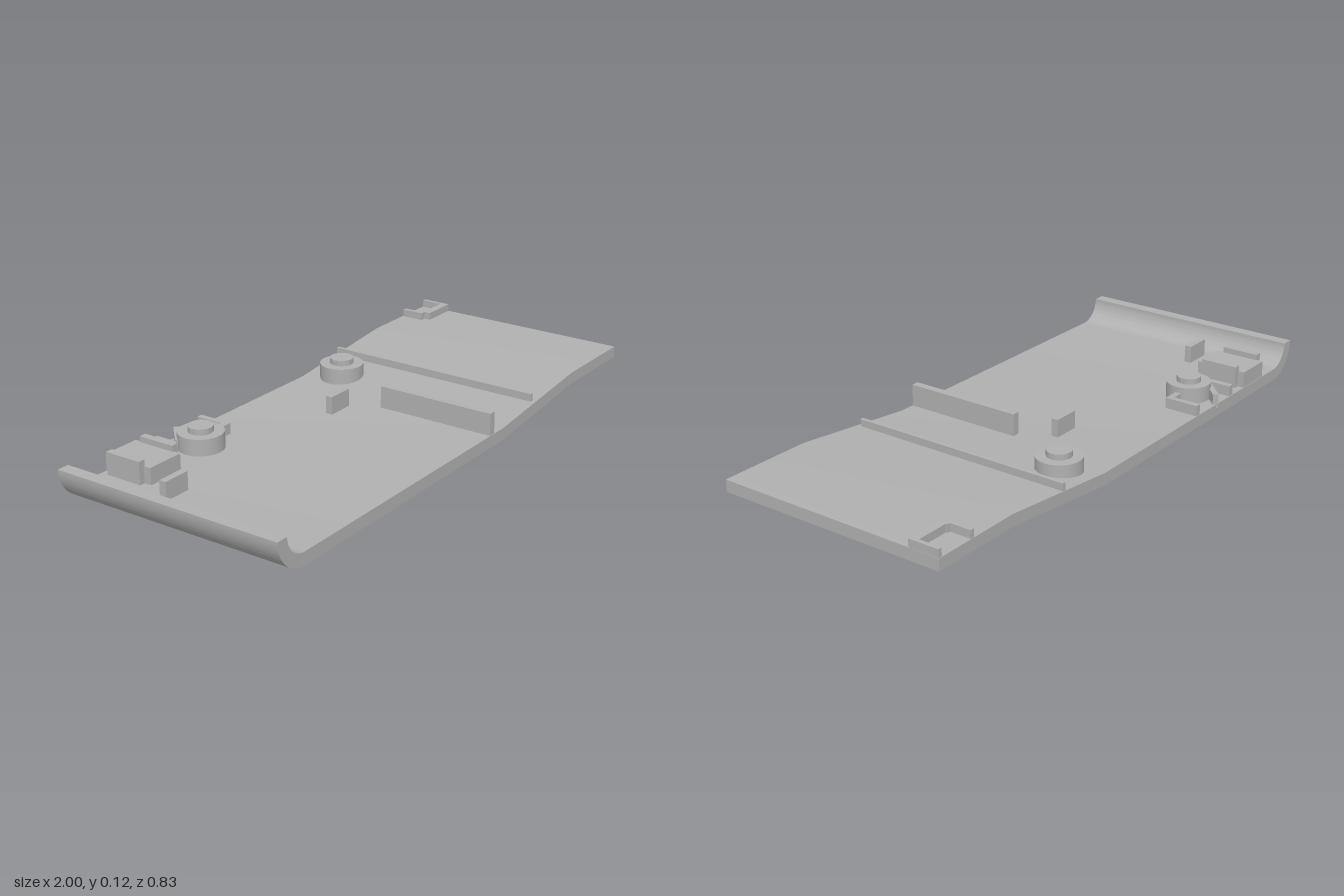
import * as THREE from 'three';
import { toCreasedNormals } from 'three/addons/utils/BufferGeometryUtils.js';

export function createModel() {
  const model = new THREE.Group();
  model.name = 'moldedPanel';
  const grey = new THREE.MeshStandardMaterial({ color: 0xb0b0b0 });
  grey.name = 'plainGrey';
  const halfDepth = 0.415;

  function add(name, geometry) {
    const mesh = new THREE.Mesh(geometry, grey);
    mesh.name = name;
    model.add(mesh);
    return mesh;
  }

  // Box given by its limits on each axis
  function block(name, x0, x1, y0, y1, z0, z1) {
    const mesh = add(name, new THREE.BoxGeometry(x1 - x0, y1 - y0, z1 - z0));
    mesh.position.set((x0 + x1) / 2, (y0 + y1) / 2, (z0 + z1) / 2);
    return mesh;
  }

  // Panel section: curled lip, flat floor, ramp and raised end
  const section = new THREE.Shape();
  section.moveTo(-1, 0.12);
  section.absarc(-0.88, 0.12, 0.12, Math.PI, Math.PI * 1.5, false);
  section.lineTo(0.2, 0);
  section.lineTo(0.67, 0.052);
  section.lineTo(1, 0.052);
  section.lineTo(1, 0.093);
  section.lineTo(0.67, 0.093);
  section.lineTo(0.2, 0.043);
  section.lineTo(-0.88, 0.043);
  section.absarc(-0.88, 0.12, 0.077, Math.PI * 1.5, Math.PI, true);
  section.closePath();
  const panel = new THREE.ExtrudeGeometry(section, {
    depth: halfDepth * 2, bevelEnabled: false, curveSegments: 20,
  });
  panel.translate(0, 0, -halfDepth);
  add('panel', toCreasedNormals(panel, 0.5));

  // Stepped round posts
  for (const x of [-0.49, 0.275]) {
    const profile = [[0, 0.03], [0.077, 0.03], [0.077, 0.1], [0.042, 0.1], [0.042, 0.12], [0, 0.12]]
      .map(([r, y]) => new THREE.Vector2(r, y));
    const post = add('post', toCreasedNormals(new THREE.LatheGeometry(profile, 40), 0.5));
    post.position.set(x, 0, -0.295);
  }

  // Corner block with raised cheeks
  block('cornerBlock', -0.8, -0.665, 0.03, 0.1, -0.413, -0.228);
  block('blockCheek', -0.82, -0.795, 0.03, 0.12, -0.39, -0.255);
  block('blockCheek', -0.67, -0.645, 0.03, 0.12, -0.39, -0.255);

  // Small upright tabs
  for (const x of [-0.858, -0.03]) block('tab', x, x + 0.098, 0.03, 0.105, -0.14, -0.115);

  // Bracket walls around the first post
  block('bracketWall', -0.59, -0.567, 0.03, 0.08, -0.413, -0.33);
  block('bracketWall', -0.371, -0.35, 0.03, 0.08, -0.413, -0.29);
  block('bracketFoot', -0.42, -0.35, 0.03, 0.08, -0.312, -0.29);
  const brace = block('diagonalBrace', -0.57, -0.46, 0.03, 0.08, -0.384, -0.364);
  brace.rotation.y = 0.78;

  // Cross ribs
  block('tallRib', 0.118, 0.145, 0.03, 0.12, -0.018, 0.413);
  block('thinRib', 0.408, 0.42, 0.05, 0.092, -0.413, 0.4);

  // Three-sided latch frame at the raised corner
  block('latchSide', 0.845, 0.86, 0.08, 0.12, -0.413, -0.33);
  block('latchFront', 0.865, 0.999, 0.08, 0.12, -0.333, -0.305);
  block('latchSide', 0.985, 0.999, 0.08, 0.12, -0.413, -0.333);
  block('latchLink', 0.845, 0.87, 0.08, 0.12, -0.339, -0.329);

  return model;
}
